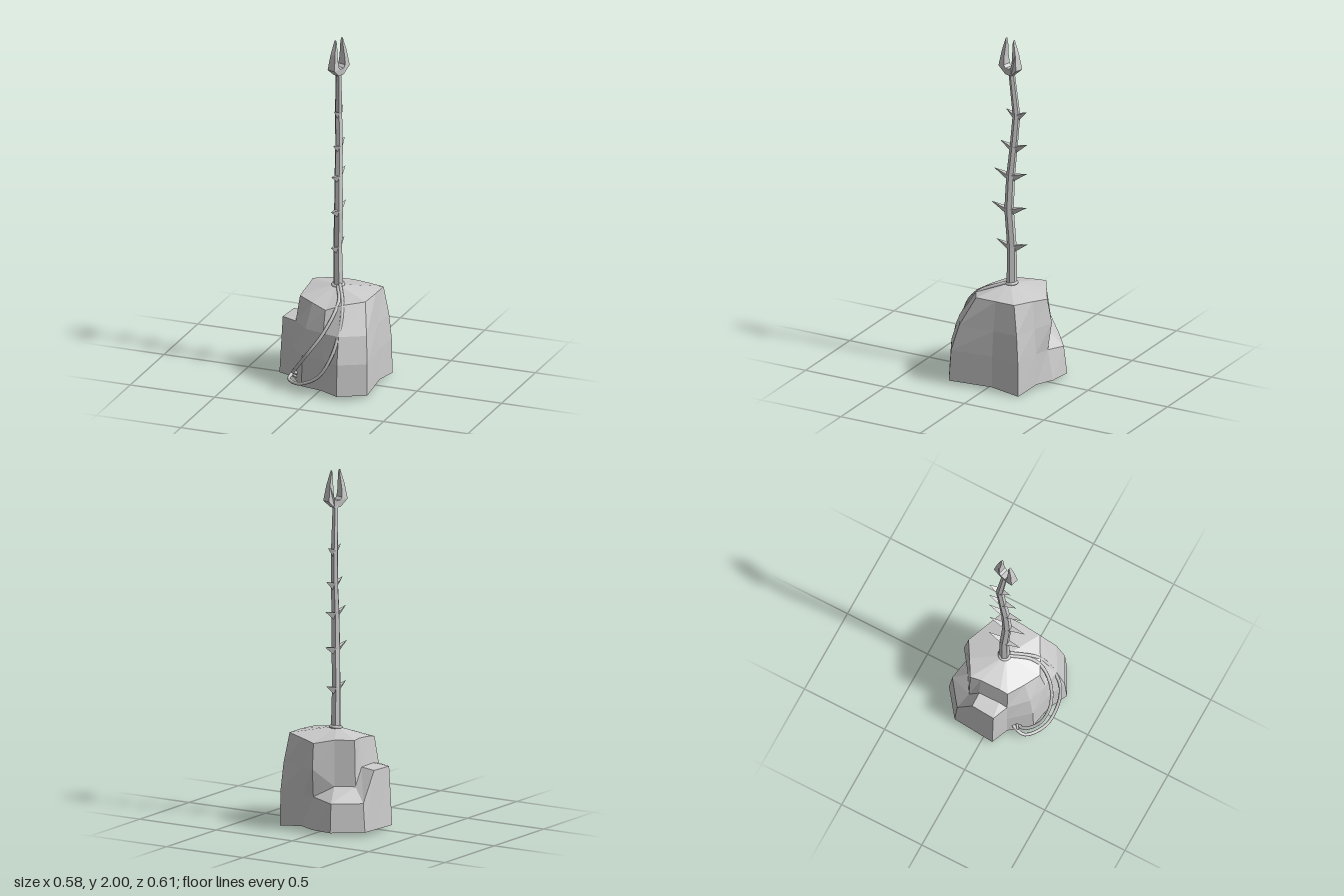
import * as THREE from 'three';
import { ConvexGeometry } from 'three/addons/geometries/ConvexGeometry.js';

const V = (x, y, z) => new THREE.Vector3(x, y, z);
const { lerp } = THREE.MathUtils;
const flat = () => new THREE.MeshStandardMaterial({ color: 0xcccccc, flatShading: true });
const smooth = () => new THREE.MeshStandardMaterial({ color: 0xcccccc });

function part(name, geometry, material) {
  const mesh = new THREE.Mesh(geometry, material);
  mesh.name = name;
  return mesh;
}

// Skin a closed ring of columns (each listed bottom to top), with centre points closing both ends.
function skin(columns, bottom, top) {
  const pos = [];
  const tri = (...pts) => pts.forEach((p) => pos.push(...p));
  columns.forEach((a, i) => {
    const b = columns[(i + 1) % columns.length];
    const n = a.length - 1;
    for (let j = 0; j < n; j++) {
      tri(a[j], b[j], b[j + 1]);
      tri(a[j], b[j + 1], a[j + 1]);
    }
    tri(a[n], b[n], top);
    tri(b[0], a[0], bottom);
  });
  const g = new THREE.BufferGeometry();
  g.setAttribute('position', new THREE.Float32BufferAttribute(pos, 3));
  g.computeVertexNormals();
  return g;
}

// How a rock column moves in from foot to rim: two middle levels of [height, share of the way in].
const profiles = {
  slope: [[0.2, 0.08], [0.35, 0.38]],
  waist: [[0.2, 0.9], [0.36, 0.2]],
  lowLedge: [[0.18, 0.16], [0.26, 0.92]],
  highLedge: [[0.35, 0.14], [0.36, 0.85]],
};

// Rock: columns of foot x, z and rim x, y, z, counterclockwise from above, starting at the front.
function rock() {
  const columns = [
    ['slope', 0.14, 0.295, 0.11, 0.5, 0.145],
    ['slope', 0.29, 0.215, 0.225, 0.515, 0.08],
    ['slope', 0.262, -0.04, 0.235, 0.52, -0.05],
    ['slope', 0.27, -0.21, 0.235, 0.52, -0.165],
    ['slope', 0.11, -0.235, 0.115, 0.51, -0.215],
    ['waist', 0.01, -0.285, 0.02, 0.5, -0.255],
    ['lowLedge', -0.12, -0.302, -0.08, 0.52, -0.195],
    ['lowLedge', -0.272, -0.185, -0.175, 0.52, -0.14],
    ['highLedge', -0.28, -0.08, -0.165, 0.52, -0.08],
    ['highLedge', -0.292, 0.06, -0.16, 0.51, 0.04],
    ['slope', -0.195, 0.1, -0.16, 0.5, 0.085],
    ['slope', -0.1, 0.215, -0.065, 0.49, 0.14],
    ['slope', 0.03, 0.24, 0.03, 0.475, 0.185],
  ].map(([profile, fx, fz, rx, ry, rz]) => {
    const footY = fx > 0.2 && fz < -0.2 ? 0 : 0.02; // one corner sits lower
    return [[footY, 0], ...profiles[profile], [ry, 1]].map(([y, t]) => [lerp(fx, rx, t), y, lerp(fz, rz, t)]);
  });
  return part('rock', skin(columns, [0, 0.02, 0], [0.02, 0.555, -0.02]), flat());
}

// Staff centre line: x, y, z, radius.
const staffLine = [
  [0.02, 0.5, -0.032, 0.03], [0.017, 0.77, -0.03, 0.026], [0.027, 0.99, -0.018, 0.026],
  [0.024, 1.19, -0.026, 0.024], [0.02, 1.36, -0.043, 0.022], [0.012, 1.55, -0.056, 0.021],
  [0.022, 1.81, -0.03, 0.017],
];

function staff() {
  const columns = [...Array(6).keys()].map((i) => {
    const a = (i * Math.PI) / 3;
    return staffLine.map(([x, y, z, r]) => [x + r * Math.cos(a), y, z - r * Math.sin(a)]);
  });
  const end = (p) => p.slice(0, 3);
  return part('staff', skin(columns, end(staffLine[0]), end(staffLine.at(-1))), flat());
}

// Thorns: a flat-topped wedge in front of and behind each joint of the staff.
function thorns() {
  const group = new THREE.Group();
  group.name = 'thorns';
  [0.1, 0.112, 0.104, 0.085, 0.066].forEach((reach, i) => {
    const [x, y, z, r] = staffLine[i + 1];
    for (const side of [1, -1]) {
      const root = z + side * r * 0.45;
      group.add(part('thorn', new ConvexGeometry([
        V(x - 0.019, y + 0.008, root), V(x + 0.019, y + 0.008, root),
        V(x, y - 0.036, root), V(x, y + 0.028, z + side * reach),
      ]), flat()));
    }
  });
  return group;
}

// Forked head: half an outline, mirrored, then thinned towards the tips.
function fork() {
  const half = [
    [0.022, 0], [0.068, 0.042], [0.053, 0.13], [0.03, 0.21], [0.025, 0.19],
    [0.031, 0.1], [0.028, 0.055], [0.014, 0.04],
  ];
  const mirrored = half.map(([x, y]) => [-x, y]).reverse();
  const outline = [...half, ...mirrored].map(([x, y]) => new THREE.Vector2(x, y));
  const g = new THREE.ExtrudeGeometry(new THREE.Shape(outline), { depth: 1, bevelEnabled: false });
  g.translate(0, 0, -0.5);
  const p = g.attributes.position;
  for (let i = 0; i < p.count; i++) {
    const y = p.getY(i);
    const width = y < 0.045 ? 0.036 + y * 0.3 : 0.05 - (y - 0.045) * 0.24;
    p.setZ(i, p.getZ(i) * width);
  }
  g.computeVertexNormals();
  const mesh = part('forkedHead', g, flat());
  mesh.position.set(0.025, 1.79, -0.025);
  mesh.rotation.y = Math.PI / 2 - 0.28;
  return mesh;
}

// Rope: two slack strands from the staff's foot to a ring at the rock's foot.
function rope() {
  const group = new THREE.Group();
  group.name = 'rope';
  const strands = [
    [[0.03, 0.55, 0], [0.08, 0.515, 0.11], [0.08, 0.46, 0.18], [0.035, 0.35, 0.253],
      [-0.04, 0.24, 0.283], [-0.115, 0.14, 0.255], [-0.16, 0.08, 0.18], [-0.13, 0.06, 0.11]],
    [[0.04, 0.56, -0.01], [0.11, 0.5, 0.13], [0.125, 0.38, 0.21], [0.1, 0.24, 0.275],
      [0.03, 0.12, 0.294], [-0.08, 0.06, 0.28], [-0.18, 0.05, 0.2], [-0.165, 0.08, 0.11]],
  ];
  strands.forEach((pts) => {
    const curve = new THREE.CatmullRomCurve3(pts.map((p) => V(...p)));
    group.add(part('ropeStrand', new THREE.TubeGeometry(curve, 48, 0.0095, 8), smooth()));
  });
  const wrap = part('ropeWrap', new THREE.TorusGeometry(0.029, 0.009, 8, 20), smooth());
  wrap.position.set(0.02, 0.553, -0.03);
  wrap.rotation.x = Math.PI / 2 + 0.15;
  const ring = part('anchorRing', new THREE.TorusGeometry(0.024, 0.007, 8, 16), smooth());
  ring.position.set(-0.155, 0.068, 0.14);
  ring.rotation.y = 0.7;
  group.add(wrap, ring);
  return group;
}

export function createModel() {
  const model = new THREE.Group();
  model.name = 'staffInRock';
  model.add(rock(), staff(), thorns(), fork(), rope());
  return model;
}
